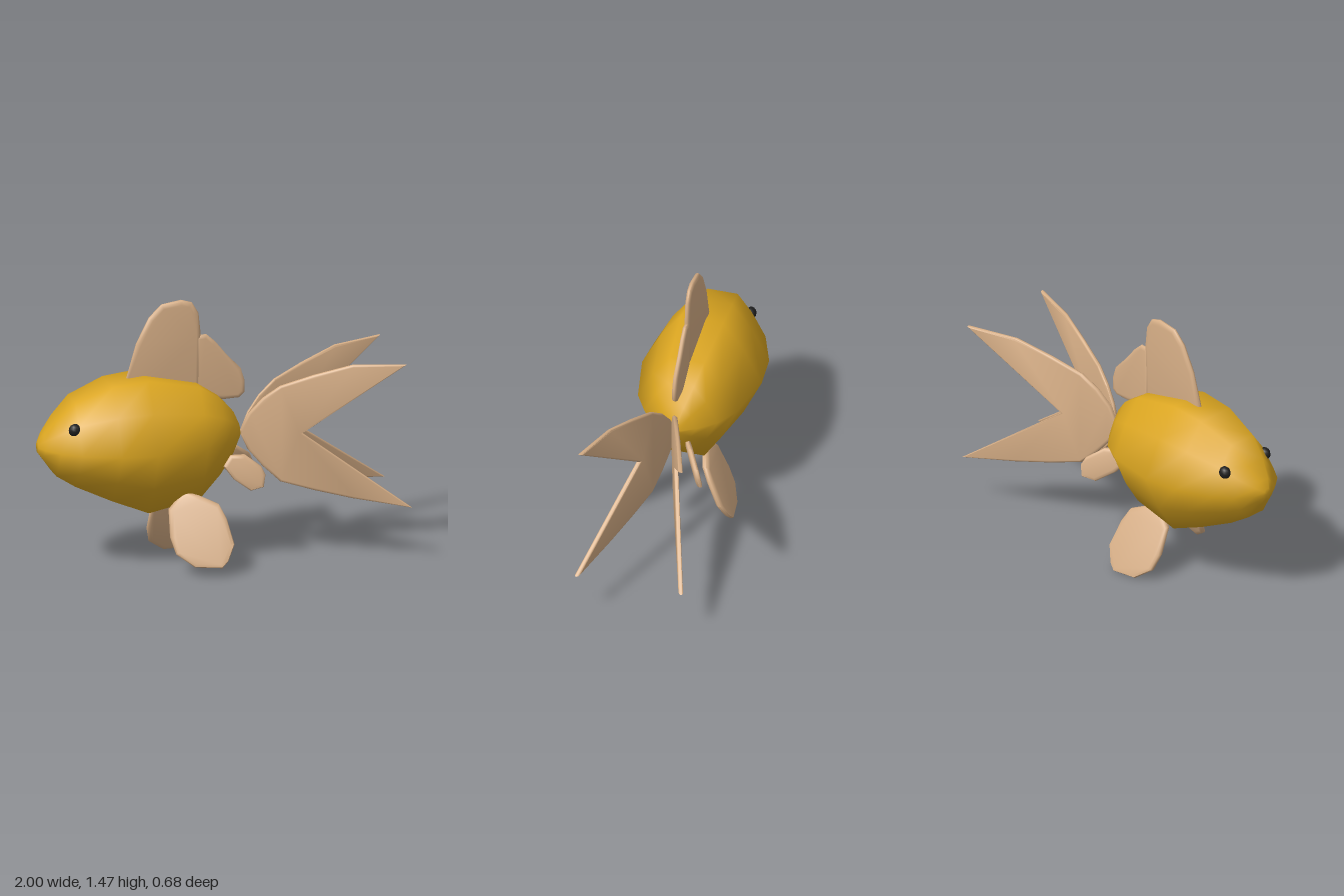
import * as THREE from 'three';
import { toCreasedNormals } from 'three/addons/utils/BufferGeometryUtils.js';

const gold = new THREE.MeshStandardMaterial({ color: 0xdaa520 });
const tan = new THREE.MeshStandardMaterial({ color: 0xd6ae86 });
const black = new THREE.MeshStandardMaterial({ color: 0x1e1e1e });
gold.name = 'goldenScales';
tan.name = 'tanFin';
black.name = 'blackEye';

const MID_Y = 0.705, MID_Z = -0.006;

// Body: faceted cross-sections lofted from nose to tail root
function bodyGeometry() {
  // x, top y, bottom y, half width
  const stations = [
    [-1, 0.705, 0.705, 0], [-1, 0.735, 0.675, 0.03], [-0.975, 0.78, 0.64, 0.085],
    [-0.91, 0.86, 0.55, 0.17], [-0.81, 0.96, 0.49, 0.24], [-0.61, 1.04, 0.40, 0.318],
    [-0.41, 1.062, 0.32, 0.335], [-0.12, 1.0, 0.375, 0.275], [0, 0.92, 0.495, 0.205],
    [0.08, 0.83, 0.6, 0.11], [0.12, 0.745, 0.675, 0.035], [0.128, 0.705, 0.705, 0],
  ];
  const ring = [[1, 0], [0.69, 0.57], [0.35, 1], [-0.35, 1], [-0.69, 0.57],
    [-1, 0], [-0.69, -0.57], [-0.35, -1], [0.35, -1], [0.69, -0.57]];
  const n = ring.length, pos = [], index = [];
  stations.forEach(([x, top, bottom, w], i) => {
    ring.forEach(([u, v], j) => {
      pos.push(x, MID_Y + v * (v > 0 ? top - MID_Y : MID_Y - bottom), MID_Z + u * w);
      if (i === stations.length - 1) return;
      const a = i * n + j, b = a + n, d = i * n + (j + 1) % n, c = d + n;
      index.push(a, b, c, a, c, d);
    });
  });
  const g = new THREE.BufferGeometry();
  g.setAttribute('position', new THREE.Float32BufferAttribute(pos, 3));
  g.setIndex(index);
  g.computeVertexNormals();
  return g;
}

// Fin: bevelled plate from an outline, leaned sideways by the rule zAt(x, y)
function fin(name, outline, thick, bevel, zAt) {
  const shape = new THREE.Shape(outline.map(([x, y]) => new THREE.Vector2(x, y)));
  const flat = new THREE.ExtrudeGeometry(shape, {
    depth: thick * 0.3, bevelThickness: thick * 0.35, bevelSize: bevel,
    bevelOffset: -bevel, bevelSegments: 2, curveSegments: 1,
  });
  flat.translate(0, 0, -thick * 0.15);
  const p = flat.attributes.position;
  for (let i = 0; i < p.count; i++) p.setZ(i, p.getZ(i) + zAt(p.getX(i), p.getY(i)));
  const mesh = new THREE.Mesh(toCreasedNormals(flat, 0.9), tan);
  mesh.name = name;
  return mesh;
}

export function createModel() {
  const model = new THREE.Group();
  model.name = 'fish';

  const body = new THREE.Mesh(bodyGeometry(), gold);
  body.name = 'body';
  model.add(body);

  // Eyes
  for (const side of [1, -1]) {
    const eye = new THREE.Mesh(new THREE.SphereGeometry(0.037, 12, 8), black);
    eye.name = side > 0 ? 'leftEye' : 'rightEye';
    eye.position.set(-0.83, 0.83, MID_Z + side * 0.153);
    eye.scale.set(0.95, 0.95, 0.8);
    model.add(eye);
  }

  // Dorsal fins: tall front lobe and low rear lobe
  model.add(fin('frontDorsalFin', [
    [-0.51, 1.03], [-0.45, 1.24], [-0.38, 1.38], [-0.31, 1.45], [-0.2, 1.468],
    [-0.14, 1.45], [-0.105, 1.39], [-0.092, 1.27], [-0.1, 0.95], [-0.4, 0.95],
  ], 0.03, 0.025, () => -0.01));
  model.add(fin('rearDorsalFin', [
    [-0.12, 1.26], [-0.06, 1.265], [-0.01, 1.22], [0.05, 1.145], [0.13, 1.06],
    [0.152, 0.99], [0.152, 0.925], [0.12, 0.897], [0.03, 0.893], [-0.12, 0.92],
  ], 0.028, 0.02, () => -0.01));

  // Forked tail fins, splayed to either side
  const tail = [
    [0.122, 0.705], [0.17, 0.81], [0.24, 0.895], [0.33, 0.965], [0.5, 1.03],
    [0.7, 1.092], [0.975, 1.1], [0.445, 0.703], [1.004, 0.297], [0.7, 0.343],
    [0.5, 0.385], [0.33, 0.43], [0.24, 0.515], [0.17, 0.6],
  ];
  for (const side of [1, -1]) {
    model.add(fin(side > 0 ? 'leftTailFin' : 'rightTailFin', tail, 0.026, 0.012,
      (x) => -0.002 + side * 0.335 * (x - 0.13)));
  }

  // Belly fins, trailing outward
  const belly = [
    [-0.22, 0.43], [-0.14, 0.41], [-0.045, 0.37], [-0.012, 0.3], [0.015, 0.17],
    [-0.025, 0.085], [-0.06, 0.05], [-0.2, 0.052], [-0.29, 0.115], [-0.312, 0.2],
    [-0.305, 0.34],
  ];
  model.add(fin('leftBellyFin', belly, 0.04, 0.02,
    (x, y) => 0.307 + 0.3 * (x + 0.13) - 0.43 * (y - 0.05)));
  model.add(fin('rightBellyFin', belly.map(([x, y]) => [x - 0.04, y - 0.05]), 0.04, 0.02,
    (x, y) => -0.25 - 0.12 * (x + 0.165) + 0.45 * y));

  // Small rear fins under the tail root
  const rear = [
    [0.01, 0.545], [0.05, 0.6], [0.13, 0.6], [0.215, 0.535], [0.236, 0.49],
    [0.222, 0.425], [0.15, 0.41], [0.06, 0.475],
  ];
  model.add(fin('leftRearFin', rear, 0.035, 0.018,
    (x, y) => 0.105 + 0.05 * (x - 0.15) - 0.25 * (y - 0.5)));
  model.add(fin('rightRearFin', rear, 0.035, 0.018,
    (x, y) => -0.125 - 0.5 * (x - 0.15) + 0.2 * (y - 0.5)));

  return model;
}
